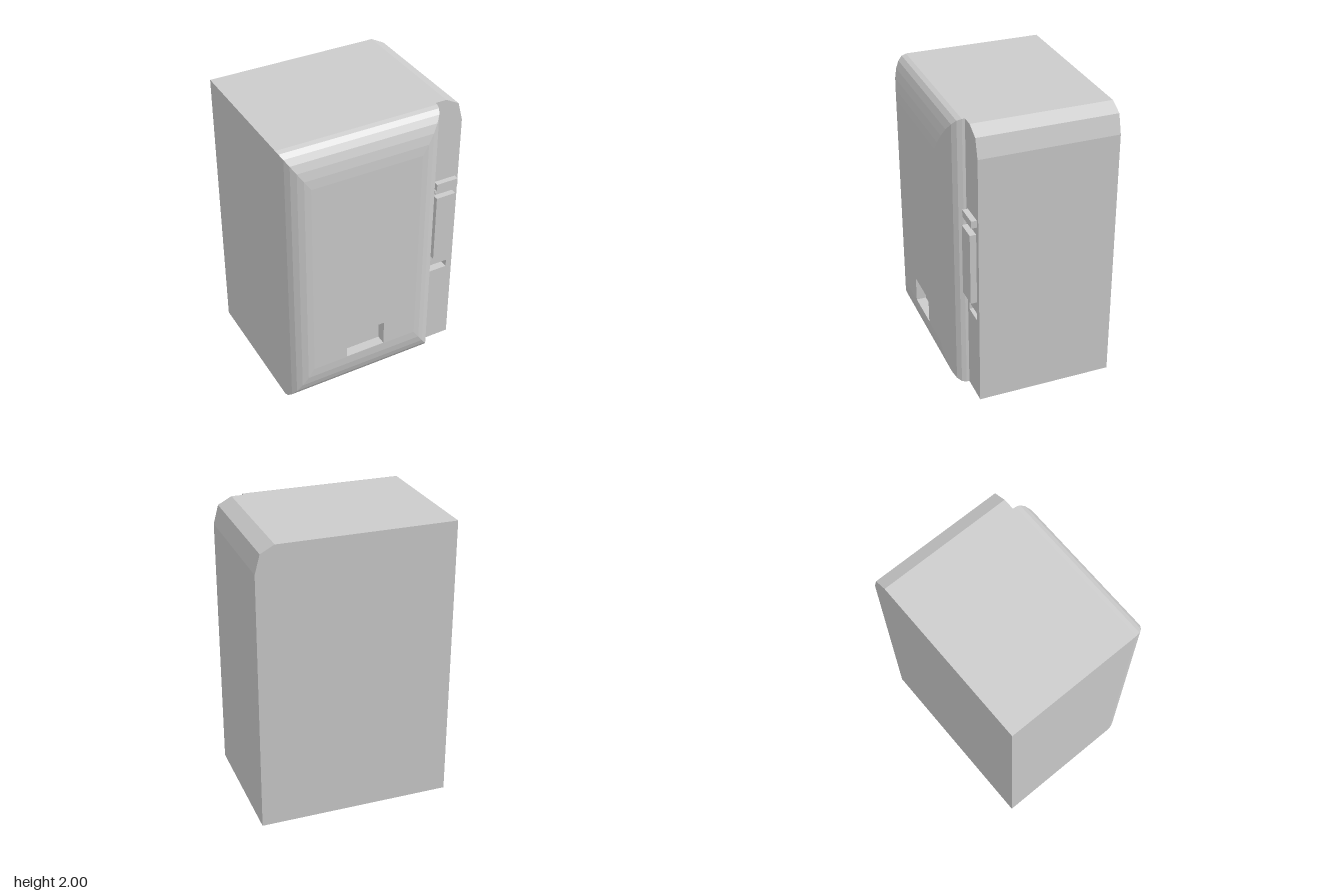
import * as THREE from 'three';
import { mergeGeometries } from 'three/addons/utils/BufferGeometryUtils.js';

const material = new THREE.MeshStandardMaterial({ color: 0xcccccc, flatShading: true });
const pocketMaterial = new THREE.MeshStandardMaterial({ color: 0xcccccc, side: THREE.DoubleSide });

// Corners of a rectangle, anticlockwise from the front
const rect = (x0, x1, y0, y1) => [[x0, y0], [x1, y0], [x1, y1], [x0, y1]];
const toPoints = (outline) => outline.map(([x, y]) => new THREE.Vector2(x, y));

// Flat cap at height z, with optional holes; reversed caps face backwards
function cap(outline, z, holes = [], reversed = false) {
  const shape = new THREE.Shape(toPoints(outline));
  holes.forEach((h) => shape.holes.push(new THREE.Path(toPoints(h))));
  const geo = new THREE.ShapeGeometry(shape);
  if (reversed) geo.index.array.reverse();
  geo.translate(0, 0, z);
  return geo.toNonIndexed();
}

// Closed solid through rings { outline, z } ordered from back to front
function loft(rings, frontHoles) {
  const pos = [];
  const n = rings[0].outline.length;
  for (let k = 0; k < rings.length - 1; k++) {
    for (let i = 0; i < n; i++) {
      const at = (r, j) => [...rings[r].outline[j % n], rings[r].z];
      const [a, b, c, d] = [at(k, i), at(k, i + 1), at(k + 1, i + 1), at(k + 1, i)];
      pos.push(...a, ...b, ...c, ...a, ...c, ...d);
    }
  }
  const sides = new THREE.BufferGeometry();
  sides.setAttribute('position', new THREE.Float32BufferAttribute(pos, 3));
  const first = rings[0], last = rings[rings.length - 1];
  const parts = [sides, cap(first.outline, first.z, [], true), cap(last.outline, last.z, frontHoles)];
  parts.forEach((g) => { g.deleteAttribute('uv'); g.computeVertexNormals(); });
  return mergeGeometries(parts);
}

function boxBetween(x0, x1, y0, y1, z0, z1) {
  return new THREE.BoxGeometry(x1 - x0, y1 - y0, z1 - z0)
    .translate((x0 + x1) / 2, (y0 + y1) / 2, (z0 + z1) / 2);
}

// Open-fronted box that lines a recess
function pocket(x0, x1, y0, y1, z0, z1) {
  const geo = boxBetween(x0, x1, y0, y1, z0, z1);
  const index = Array.from(geo.index.array);
  index.splice(24, 6);
  geo.setIndex(index);
  geo.clearGroups();
  return geo;
}

export function createModel() {
  const group = new THREE.Group();
  const add = (name, geo, mat = material) => {
    const mesh = new THREE.Mesh(geo, mat);
    mesh.name = name;
    group.add(mesh);
  };

  const bodyFront = 0.4, doorFront = 0.545;
  const slot = [0.485, 0.625, 0.625, 0.68];
  const tray = [-0.25, 0.04, 0.265, 0.45];

  // Cabinet with one bevelled top corner
  const outline = [[-0.67, 0], [0.67, 0], [0.67, 1.82], [0.635, 1.95], [0.54, 2], [-0.67, 2]];
  add('cabinet', loft([{ outline, z: -0.55 }, { outline, z: bodyFront }], [rect(...slot)]));

  // Bulging door: insets follow a quarter ellipse on every side
  const rings = [{ outline: rect(-0.67, 0.458, 0, 2), z: bodyFront }];
  const steps = 6;
  for (let i = 0; i <= steps; i++) {
    const a = (i / steps) * Math.PI / 2;
    const dx = 0.17 * (1 - Math.cos(a)), dy = 0.26 * (1 - Math.cos(a));
    rings.push({
      outline: rect(-0.67 + dx, 0.458 - dx, dy, 2 - dy),
      z: 0.42 + (doorFront - 0.42) * Math.sin(a),
    });
  }
  add('door', loft(rings, [rect(...tray)]));

  // Recesses
  add('dispensingTray', pocket(...tray, doorFront - 0.07, doorFront), pocketMaterial);
  add('coinReturn', pocket(...slot, bodyFront - 0.08, bodyFront), pocketMaterial);

  // Controls on the side strip
  add('selectionPanel', boxBetween(0.485, 0.63, 0.77, 1.28, bodyFront, 0.443));
  add('billAcceptor', boxBetween(0.485, 0.645, 1.34, 1.39, bodyFront, 0.438));
  add('coinSlotPlate', boxBetween(0.492, 0.515, 1.292, 1.318, bodyFront, 0.408));
  add('coinSlotLip', boxBetween(0.492, 0.502, 1.292, 1.305, bodyFront, 0.414));

  return group;
}
